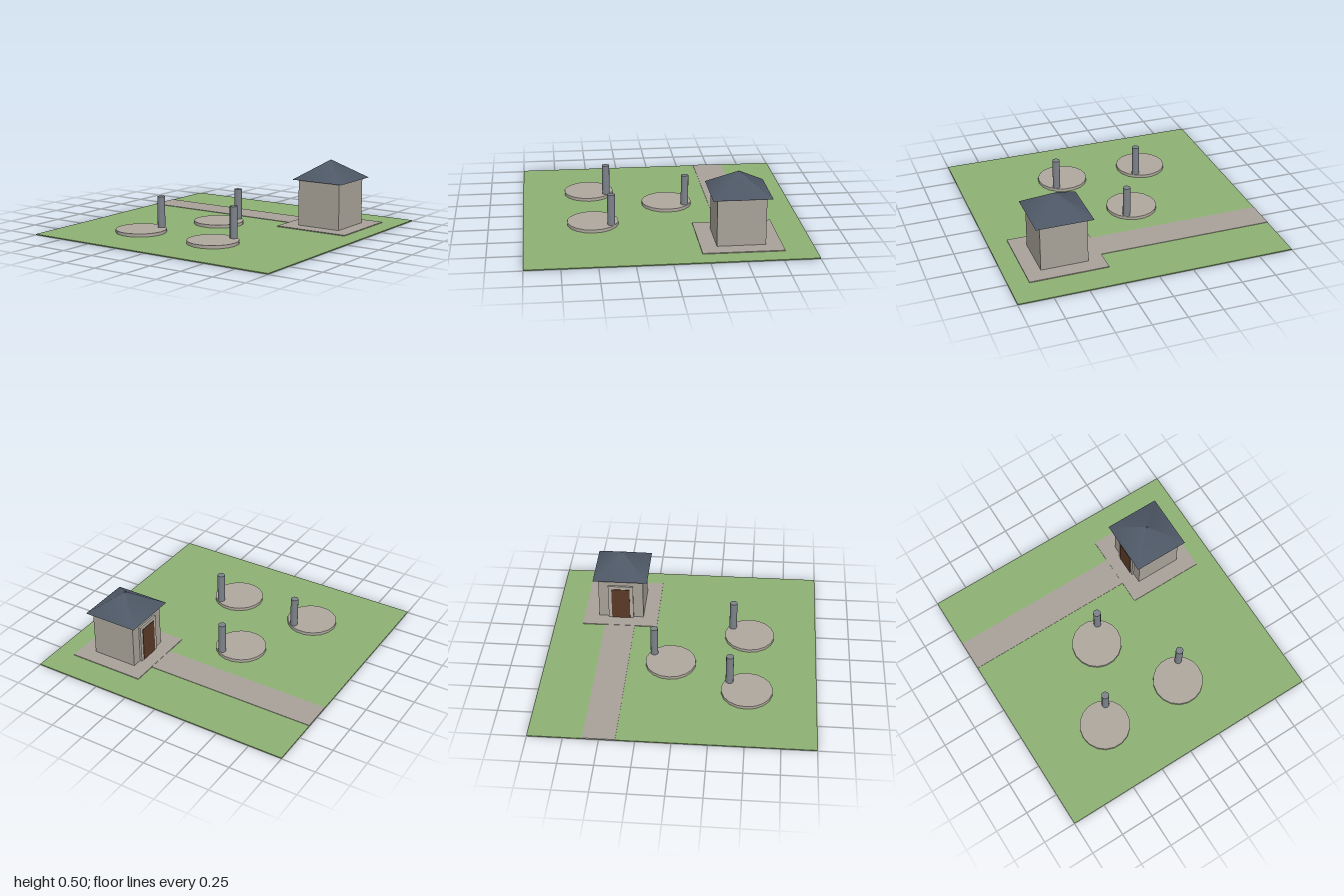
import * as THREE from 'three';

const paint = (color) => new THREE.MeshStandardMaterial({ color });

export function createModel() {
  const model = new THREE.Group();
  const grass = paint(0x8db173), paving = paint(0xa7a199), wall = paint(0xa8a298);
  const slate = paint(0x4e5866), wood = paint(0x5a3a26), trim = paint(0xb5aea5);
  const stone = paint(0xaea79e), metal = paint(0x7d838a);

  const add = (name, geometry, material, x, y, z, parent = model) => {
    const mesh = new THREE.Mesh(geometry, material);
    mesh.name = name;
    mesh.position.set(x, y, z);
    parent.add(mesh);
    return mesh;
  };
  // Box given by its width, depth and its bottom and top heights
  const block = (name, material, w, d, y0, y1, x, z, parent) =>
    add(name, new THREE.BoxGeometry(w, y1 - y0, d), material, x, (y0 + y1) / 2, z, parent);

  // Lawn and paving
  block('lawn', grass, 2, 2, 0, 0.007, 0, 0);
  block('path', paving, 0.229, 1.288, 0.001, 0.0105, 0.5, -0.356);
  block('housePad', paving, 0.571, 0.571, 0.001, 0.013, 0.5, 0.571);

  // Hut with a pyramid roof; the door faces the path at the back
  const hut = new THREE.Group();
  hut.name = 'hut';
  hut.position.set(0.5, 0, 0.571);
  model.add(hut);
  block('walls', wall, 0.343, 0.343, 0.008, 0.358, 0, 0, hut);
  const roof = new THREE.ConeGeometry(0.414 / Math.SQRT2, 0.143, 4);
  roof.rotateY(Math.PI / 4);
  add('roof', roof, slate, 0, 0.4285, 0, hut);

  // Door with its surround
  for (const side of [-1, 1]) {
    block('doorJamb', trim, 0.026, 0.016, 0.01, 0.3, side * 0.083, -0.178, hut);
  }
  block('doorLintel', trim, 0.14, 0.016, 0.274, 0.3, 0, -0.178, hut);
  block('door', wood, 0.14, 0.022, 0, 0.274, 0, -0.179, hut);

  // Round platforms, each with a post near its edge
  const disc = new THREE.CylinderGeometry(0.186, 0.186, 0.025, 18);
  const post = new THREE.CylinderGeometry(0.028, 0.028, 0.229, 12);
  for (const [x, z] of [[-0.5, -0.429], [0.071, -0.143], [-0.5, 0.214]]) {
    const platform = new THREE.Group();
    platform.name = 'platform';
    platform.position.set(x, 0, z);
    model.add(platform);
    add('platformDisc', disc, stone, 0, 0.0175, 0, platform);
    add('platformPost', post, metal, 0.129, 0.1435, 0.086, platform);
  }
  return model;
}
